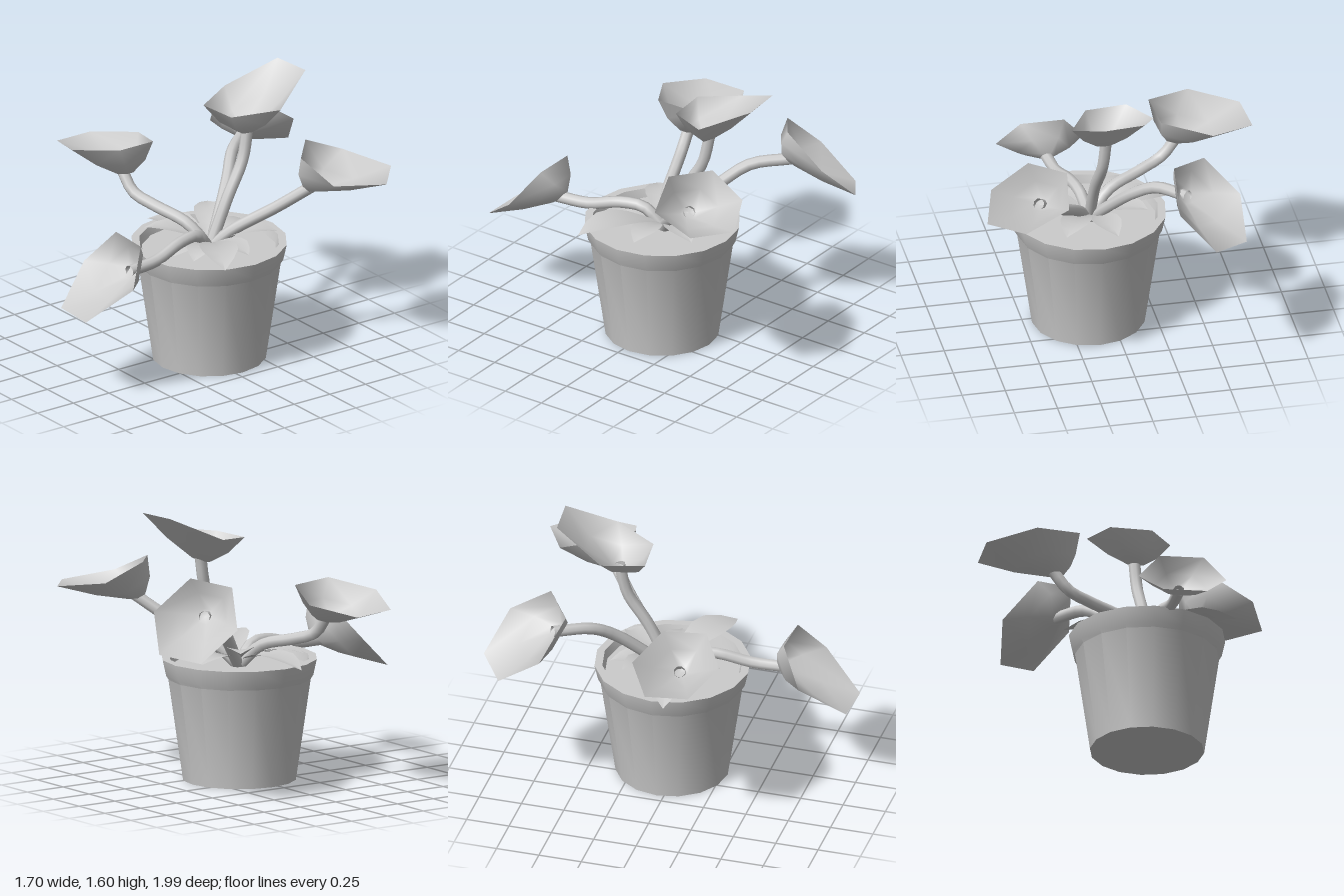
import * as THREE from 'three';
import { toCreasedNormals } from 'three/addons/utils/BufferGeometryUtils.js';

const V = (p) => new THREE.Vector3(...p);
const solid = new THREE.MeshStandardMaterial({ color: 0xcccccc });
const thin = new THREE.MeshStandardMaterial({ color: 0xcccccc, side: THREE.DoubleSide });
const root = new THREE.Vector3(0.12, 0.65, -0.05);

function mesh(name, geometry, material) {
  const m = new THREE.Mesh(geometry, material);
  m.name = name;
  return m;
}

// Skins a list of equally long rows of points
function skin(rows, closed) {
  const n = rows[0].length, index = [];
  for (let r = 0; r < rows.length - 1; r++) {
    for (let i = 0; i < (closed ? n : n - 1); i++) {
      const j = (i + 1) % n, a = r * n, b = a + n;
      index.push(a + i, a + j, b + i, a + j, b + j, b + i);
    }
  }
  const g = new THREE.BufferGeometry().setFromPoints(rows.flat());
  g.setIndex(index);
  g.computeVertexNormals();
  return g;
}

// Flared pot with a lip and a soil surface, as one turned profile
function pot() {
  const profile = [
    [0, 0], [0.325, 0], [0.41, 0.585], [0.425, 0.61], [0.445, 0.7],
    [0.4, 0.7], [0.385, 0.65], [0, 0.65],
  ].map(([r, y]) => new THREE.Vector2(r, y));
  const m = mesh('pot', toCreasedNormals(new THREE.LatheGeometry(profile, 16), 0.5), solid);
  m.position.set(0.125, 0, -0.042);
  return m;
}

// Six-sided cup: the rim is a hexagon on two half-axes whose side corners dip
// towards the base; a scaled copy of the rim forms the foot
function flowerCup(base, centre, across, along, dip) {
  const depth = base.clone().sub(centre);
  const spokes = Array.from({ length: 6 }, (_, k) => {
    const a = k * Math.PI / 3;
    return new THREE.Vector3()
      .addScaledVector(across, Math.cos(a))
      .addScaledVector(along, Math.sin(a))
      .addScaledVector(depth, dip * Math.cos(2 * a));
  });
  // share of spoke length, share of depth
  const rings = [[0, 1], [0.19, 1], [0.6, 0.6], [1, 0]];
  const rows = rings.map(([s, d]) => spokes.map((p) =>
    centre.clone().addScaledVector(depth, d).addScaledVector(p, s)));
  return mesh('flowerCup', skin(rows, true), thin);
}

// Round stem from the soil to just inside the cup
function stem(bends, base, centre) {
  const end = base.clone().lerp(centre, 0.1);
  const curve = new THREE.CatmullRomCurve3([root, ...bends.map(V), end]);
  return mesh('stem', new THREE.TubeGeometry(curve, 14, 0.034, 8, false), thin);
}

// Arched, pointed leaf spreading from the root
function leaf(degrees, length, tipHeight) {
  const a = THREE.MathUtils.degToRad(degrees);
  const dir = new THREE.Vector3(Math.cos(a), 0, Math.sin(a));
  const side = new THREE.Vector3(dir.z, 0, -dir.x);
  const start = root.clone().setY(0.68);
  const end = start.clone().addScaledVector(dir, length).setY(tipHeight);
  const ctrl = start.clone().lerp(end, 0.55);
  ctrl.y += 0.22 * length;
  const curve = new THREE.QuadraticBezierCurve3(start, ctrl, end);
  const rows = [];
  for (let i = 0; i <= 6; i++) {
    const t = i / 6, half = (0.035 + 0.135 * length) * Math.sin(Math.PI * t ** 1.2);
    rows.push([-1, 0, 1].map((s) => {
      const p = curve.getPoint(t).addScaledVector(side, s * half);
      p.y += 0.2 * half * Math.abs(s);
      return p;
    }));
  }
  return mesh('leaf', skin(rows, false), thin);
}

// Stem bends, cup base, rim centre and the rim's two half-axes
const flowers = [
  { // tall back flower
    bends: [[0.115, 0.93, -0.18], [0.095, 1.13, -0.3]], base: [0.087, 1.3, -0.335],
    centre: [0.05, 1.5, -0.41], across: [0.24, 0, -0.02], along: [0, 0.095, -0.3], dip: 0.18,
  },
  { // back left flower
    bends: [[0.2, 0.76, -0.14], [0.36, 0.91, -0.34]], base: [0.495, 1.04, -0.485],
    centre: [0.595, 1.18, -0.64], across: [-0.19, 0.01, -0.17], along: [0.18, -0.085, -0.215], dip: 0.16,
  },
  { // right flower
    bends: [[0, 0.78, 0.02], [-0.2, 0.84, 0.1], [-0.34, 0.89, 0.15]], base: [-0.415, 0.985, 0.16],
    centre: [-0.57, 1.13, 0.18], across: [-0.28, -0.06, -0.1], along: [0.135, 0.02, -0.23], dip: 0,
  },
  { // back right flower
    bends: [[0.03, 0.8, -0.18], [-0.08, 0.95, -0.32], [-0.19, 1.04, -0.43]], base: [-0.32, 1.07, -0.6],
    centre: [-0.435, 1.08, -0.75], across: [-0.19, -0.205, -0.1], along: [0.125, -0.075, -0.225], dip: 0,
  },
  { // drooping front flower
    bends: [[0.15, 0.76, 0.06], [0.18, 0.765, 0.2], [0.22, 0.715, 0.4]], base: [0.24, 0.705, 0.58],
    centre: [0.245, 0.72, 0.785], across: [0.25, -0.005, 0.01], along: [0.01, 0.22, -0.215], dip: 0.18,
  },
];

// Each leaf: direction, length, tip height
const leaves = [
  [27, 0.55, 0.735], [-5, 0.34, 0.71], [-59, 0.385, 0.74],
  [-107, 0.345, 0.71], [-146, 0.36, 0.79], [169, 0.49, 0.69],
  [139, 0.38, 0.74], [82, 0.28, 0.68], [53, 0.31, 0.69],
];

export function createModel() {
  const model = new THREE.Group();
  model.name = 'pottedFlowers';
  model.add(pot());
  for (const f of flowers) {
    const base = V(f.base), centre = V(f.centre);
    const flower = new THREE.Group();
    flower.name = 'flower';
    flower.add(
      stem(f.bends, base, centre),
      flowerCup(base, centre, V(f.across), V(f.along), f.dip),
    );
    model.add(flower);
  }
  for (const args of leaves) model.add(leaf(...args));
  return model;
}
